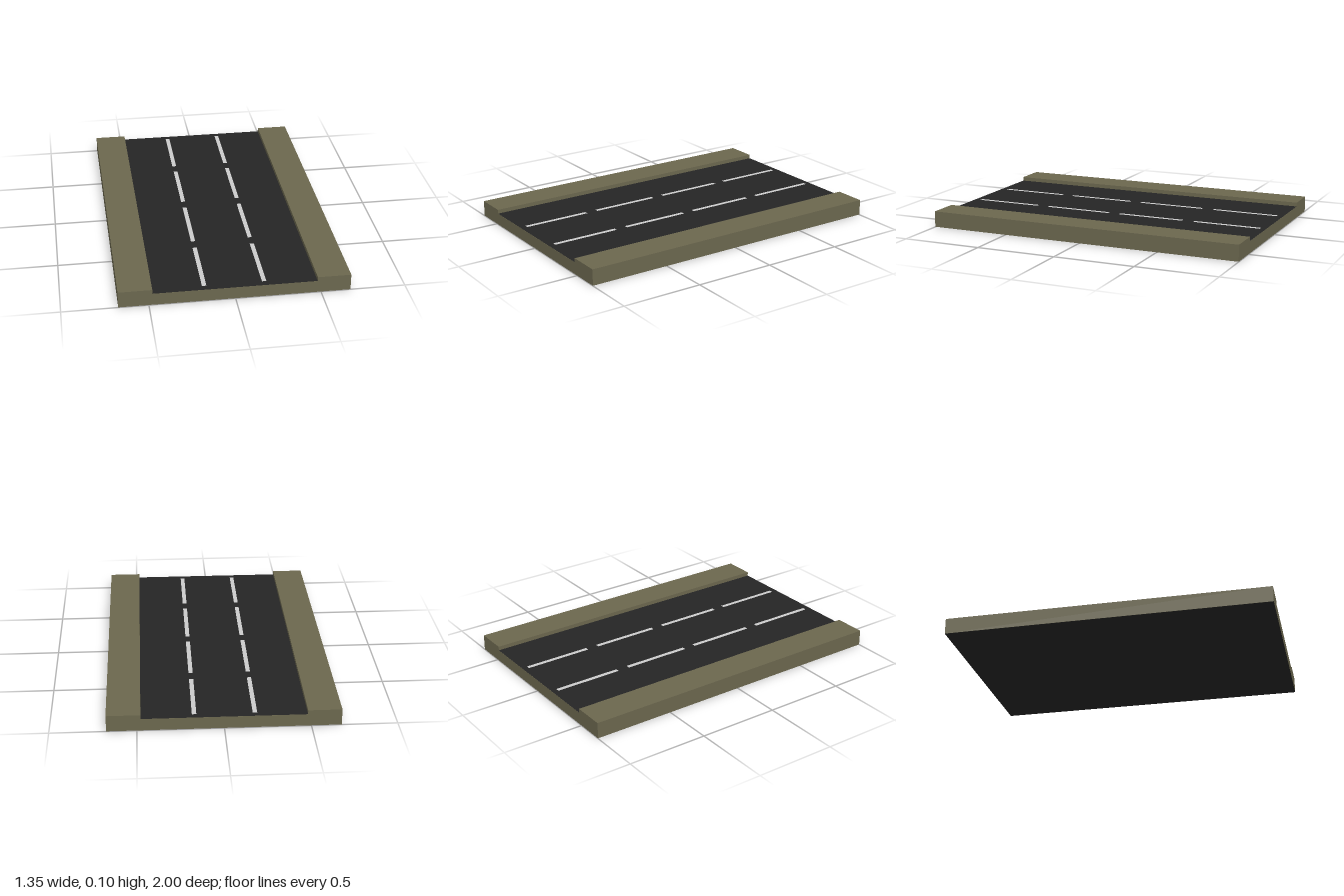
import * as THREE from 'three';

const material = (color) => new THREE.MeshStandardMaterial({ color });

export function createModel() {
  const road = new THREE.Group();
  road.name = 'roadSection';

  const earth = material(0x6b674e);
  const asphalt = material(0x252525);
  const paint = material(0xcccccc);

  const halfWidth = 0.675, halfRoad = 0.478, length = 2;
  const kerbTop = 0.1, roadTop = 0.075, skin = 0.001;

  function add(name, geometry, mat, x, y, z) {
    const mesh = new THREE.Mesh(geometry, mat);
    mesh.name = name;
    mesh.position.set(x, y, z);
    road.add(mesh);
    return mesh;
  }

  // Base with raised verges: one channel profile swept along z
  const profile = new THREE.Shape([
    [-halfWidth, skin], [halfWidth, skin], [halfWidth, kerbTop], [halfRoad, kerbTop],
    [halfRoad, roadTop - skin], [-halfRoad, roadTop - skin], [-halfRoad, kerbTop], [-halfWidth, kerbTop],
  ].map(([x, y]) => new THREE.Vector2(x, y)));
  const base = new THREE.ExtrudeGeometry(profile, { depth: length, bevelEnabled: false });
  add('baseAndVerges', base, earth, 0, 0, -length / 2);

  // Asphalt on top and dark underside
  const surface = new THREE.PlaneGeometry(halfRoad * 2, length).rotateX(-Math.PI / 2);
  add('roadSurface', surface, asphalt, 0, roadTop, 0);
  const underside = new THREE.PlaneGeometry(halfWidth * 2, length).rotateX(Math.PI / 2);
  add('underside', underside, asphalt, 0, 0, 0);

  // Two rows of dashed lane markings
  const dash = new THREE.PlaneGeometry(0.026, 0.425).rotateX(-Math.PI / 2);
  for (const x of [-0.177, 0.172]) {
    for (let i = 0; i < 4; i++) {
      add('laneMarking', dash, paint, x, roadTop + skin, -0.752 + i * 0.5);
    }
  }

  return road;
}
